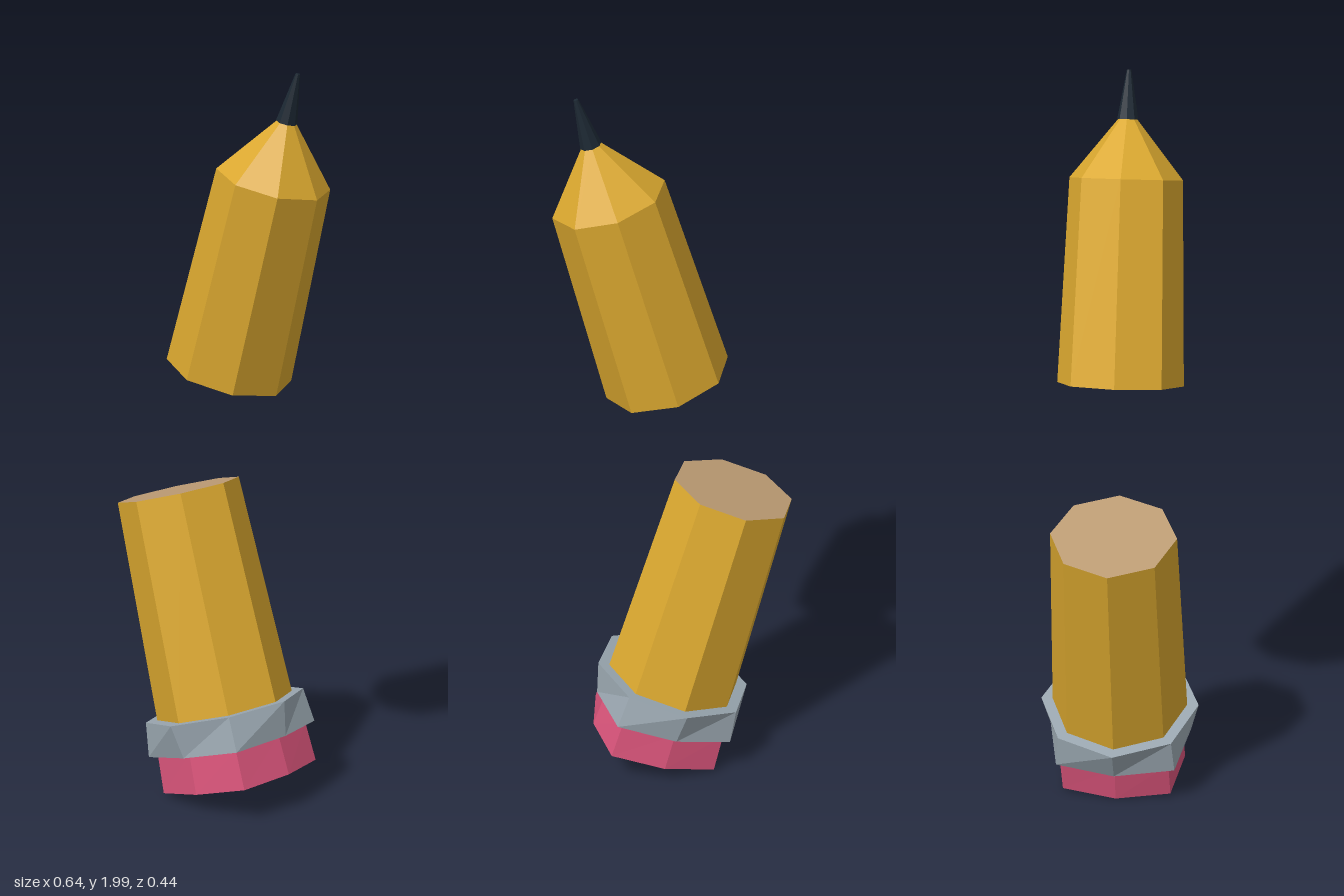
import * as THREE from 'three';

const material = (color) => new THREE.MeshStandardMaterial({ color, flatShading: true });
const paint = material(0xdba82f);
const wood = material(0xbd9c74);
const metal = material(0x9aa7b0);
const rubber = material(0xd9547a);
const graphite = material(0x1c2833);

// Eight-sided section between heights y0 and y1; the diagonal corners
// can be pushed outwards at each end to square the section off.
function section(name, mat, r0, r1, y0, y1, { open = false, d0 = 1, d1 = 1 } = {}) {
  const geo = new THREE.CylinderGeometry(r1, r0, y1 - y0, 8, 1, open);
  const pos = geo.attributes.position;
  for (let i = 0; i < pos.count; i++) {
    const x = pos.getX(i), y = pos.getY(i), z = pos.getZ(i);
    const diagonal = Math.abs(x) > 1e-4 && Math.abs(z) > 1e-4;
    const k = diagonal ? (y > 0 ? d1 : d0) : 1;
    pos.setXYZ(i, x * k, y, z * k);
  }
  geo.translate(0, (y0 + y1) / 2, 0);
  geo.computeVertexNormals();
  const mesh = new THREE.Mesh(geo, mat);
  mesh.name = name;
  return mesh;
}

// Flat octagon closing a broken end, facing up or down
function cutFace(name, r, y, up) {
  const geo = new THREE.CircleGeometry(r, 8);
  geo.rotateX(up ? -Math.PI / 2 : Math.PI / 2);
  geo.translate(0, y, 0);
  const mesh = new THREE.Mesh(geo, wood);
  mesh.name = name;
  return mesh;
}

export function createModel() {
  const model = new THREE.Group();
  model.name = 'brokenPencil';
  const tilt = THREE.MathUtils.degToRad(16);

  // Lower half, leaning to the right: eraser, metal band, shaft
  const lower = new THREE.Group();
  lower.name = 'lowerHalf';
  lower.position.set(0.064, 0.056, 0);
  lower.rotation.z = tilt;
  lower.add(
    section('eraser', rubber, 0.182, 0.175, 0, 0.11, { d0: 1.18, d1: 1.19 }),
    section('metalBand', metal, 0.2, 0.222, 0.107, 0.202, { d0: 1.17 }),
    section('lowerShaft', paint, 0.19, 0.17, 0.2, 0.812, { open: true }),
    cutFace('lowerCutFace', 0.17, 0.812, true)
  );

  // Upper half, leaning to the left: shaft, sharpened cone, lead
  const upper = new THREE.Group();
  upper.name = 'upperHalf';
  upper.position.set(0.024, 1.199, 0);
  upper.rotation.z = -tilt;
  upper.add(
    cutFace('upperCutFace', 0.17, 0, false),
    section('upperShaft', paint, 0.17, 0.151, 0, 0.546, { open: true }),
    section('sharpenedCone', paint, 0.151, 0.025, 0.546, 0.703, { open: true }),
    section('lead', graphite, 0.028, 0.006, 0.702, 0.832)
  );

  model.add(lower, upper);
  return model;
}
